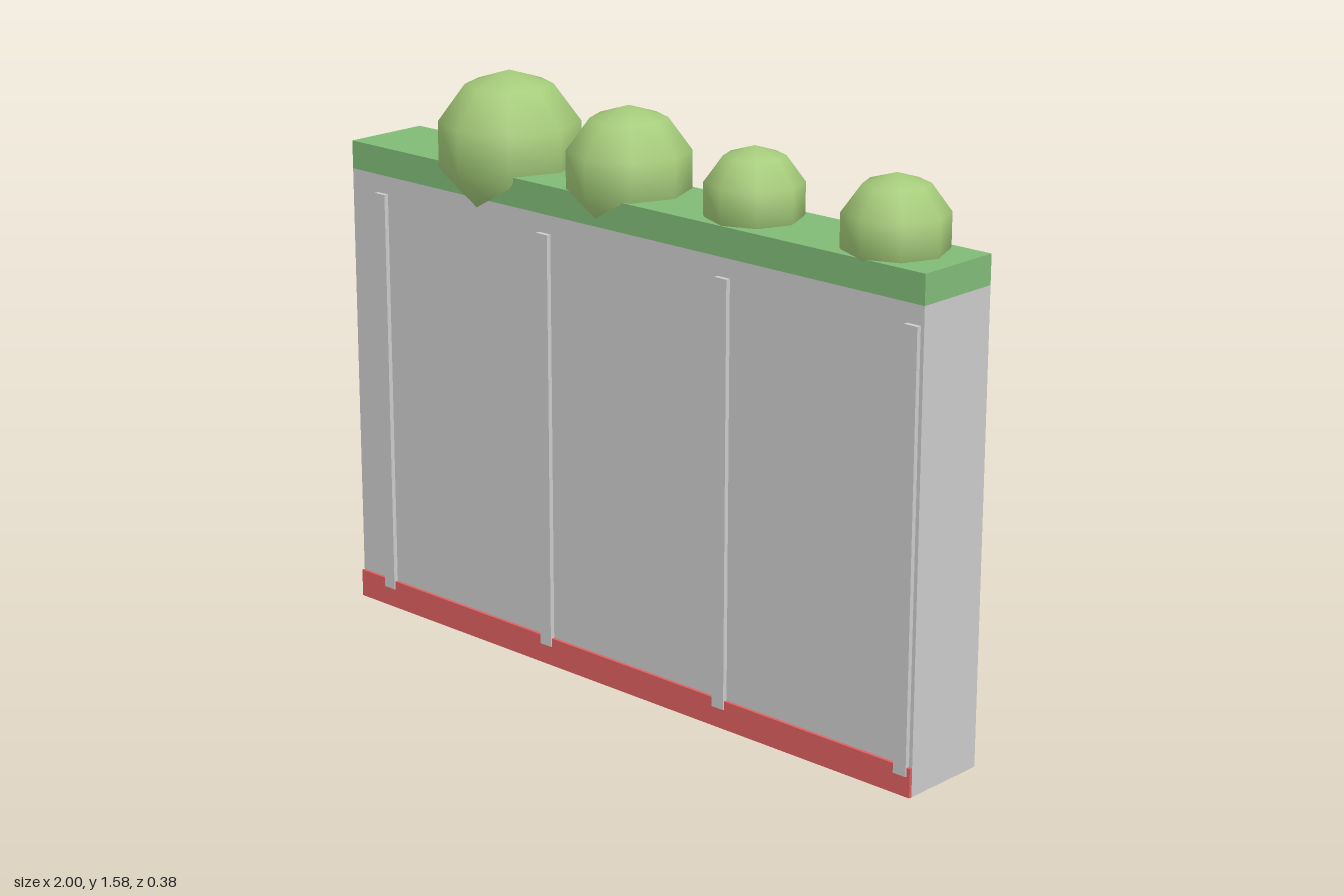
import * as THREE from 'three';

const material = (color) => new THREE.MeshStandardMaterial({ color });

export function createModel() {
  const model = new THREE.Group();
  const grey = material(0xcccccc);
  const red = material(0xe06060);
  const grass = material(0x80bb77);
  const leaf = material(0xa5cc7a);

  const add = (name, geometry, mat, x, y, z) => {
    const mesh = new THREE.Mesh(geometry, mat);
    mesh.name = name;
    mesh.position.set(x, y, z);
    model.add(mesh);
  };
  // Box given by its centre x and its y and z ranges
  const box = (name, mat, x, width, y0, y1, z0, z1) =>
    add(name, new THREE.BoxGeometry(width, y1 - y0, z1 - z0), mat, x, (y0 + y1) / 2, (z0 + z1) / 2);

  // Wall slab with a planted top and a painted skirting along the front
  box('wall', grey, 0, 2, 0, 1.25, -0.125, 0.125);
  box('grassTop', grass, 0, 2, 1.25, 1.328, -0.125, 0.125);
  box('skirting', red, 0, 2, 0, 0.078, 0.125, 0.134);

  // Thin vertical ribs on the front
  for (const x of [-0.88, -0.255, 0.37, 0.97]) box('rib', grey, x, 0.04, 0.055, 1.2, 0.12, 0.138);

  // Round bushes sunk into the grass: x and radius
  for (const [x, r] of [[-0.51, 0.2], [-0.072, 0.171], [0.357, 0.134], [0.808, 0.141]]) {
    add('bush', new THREE.SphereGeometry(r, 8, 5), leaf, x, 1.376, 0);
  }
  return model;
}
